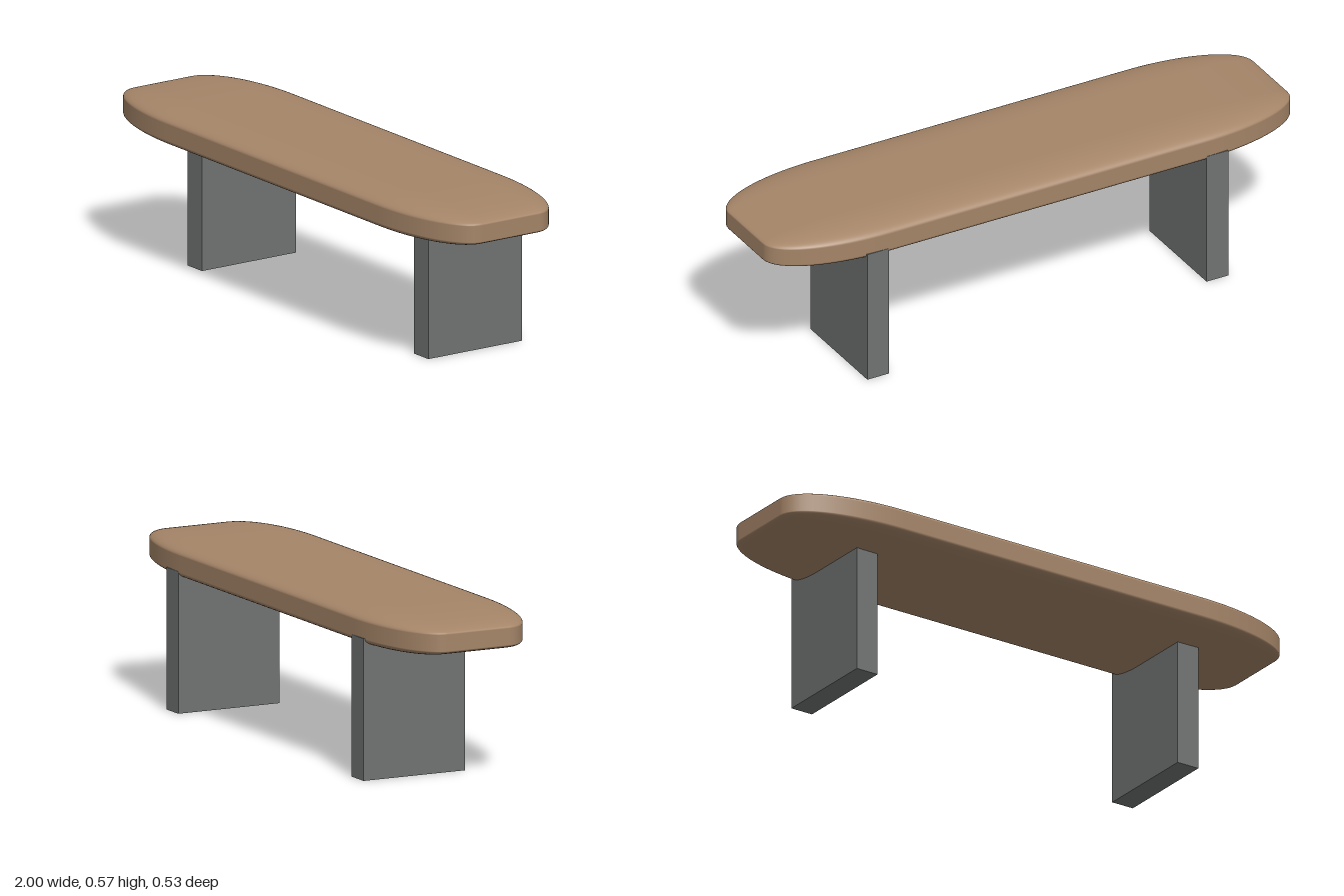
import * as THREE from 'three';
import { RoundedBoxGeometry } from 'three/addons/geometries/RoundedBoxGeometry.js';

export function createModel() {
  const bench = new THREE.Group();
  bench.name = 'bench';

  const wood = new THREE.MeshStandardMaterial({ color: 0xa58568 });
  wood.name = 'wood';
  const metal = new THREE.MeshStandardMaterial({ color: 0x707372 });
  metal.name = 'grey metal';

  // Seat slab: a box with unit-radius edges, stretched so the corners become long ellipses
  const size = new THREE.Vector3(2, 0.132, 0.532);
  const radius = new THREE.Vector3(0.4, 0.038, 0.15);
  const slab = new RoundedBoxGeometry(
    size.x / radius.x, size.y / radius.y, size.z / radius.z, 10, 1);
  slab.scale(radius.x, radius.y, radius.z);
  const seat = new THREE.Mesh(slab, wood);
  seat.name = 'seat';
  seat.position.y = 0.506;
  bench.add(seat);

  // Two panel legs, flush with the back edge and reaching into the seat
  const panel = new THREE.BoxGeometry(0.083, 0.48, 0.381);
  for (const side of [1, -1]) {
    const leg = new THREE.Mesh(panel, metal);
    leg.name = side > 0 ? 'leftLeg' : 'rightLeg';
    leg.position.set(side * 0.646, 0.24, -0.0765);
    bench.add(leg);
  }

  return bench;
}
